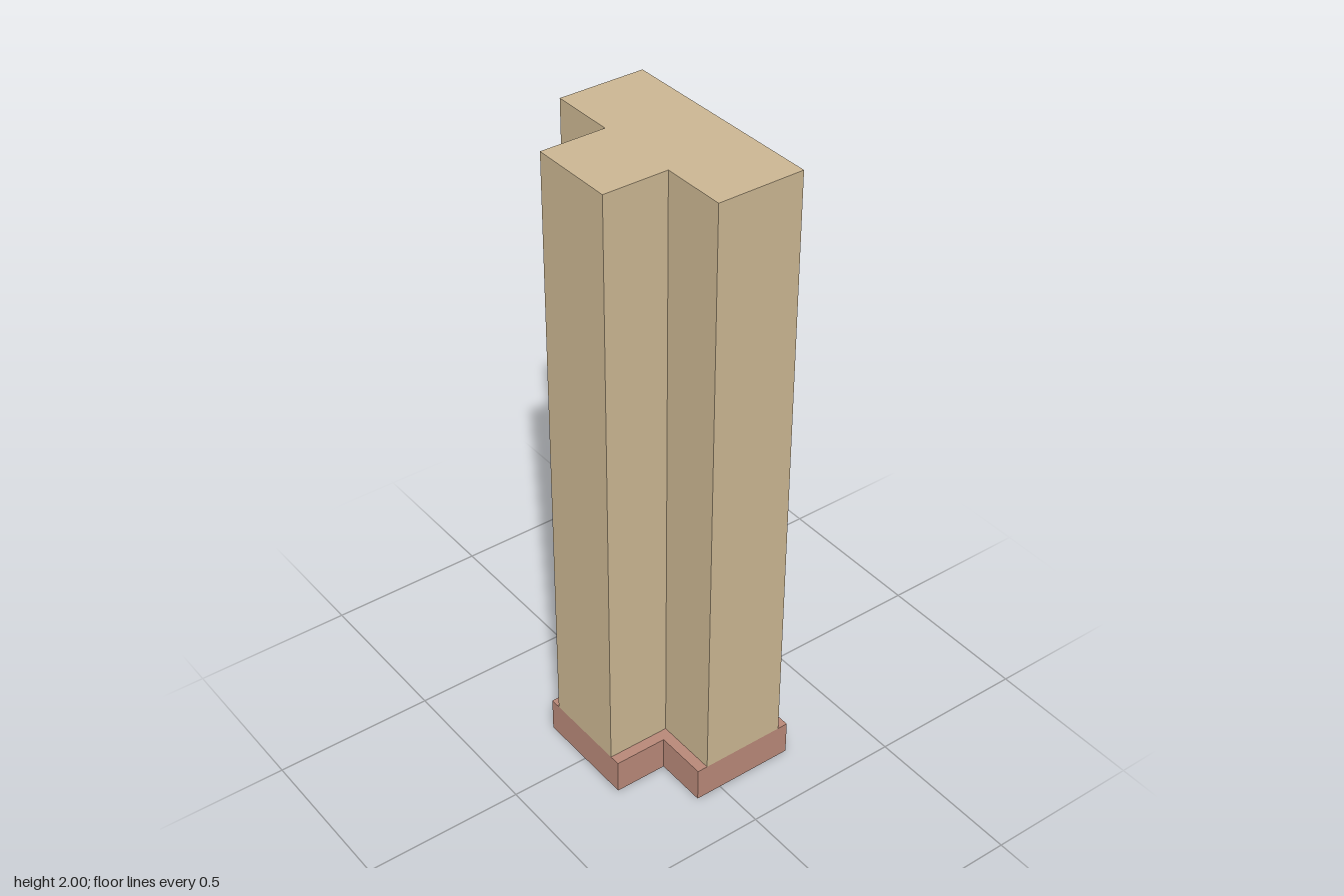
import * as THREE from 'three';

// T-shaped prism: a crossbar along the back with a stem reaching the front
function tPrism(name, color, { stem, back, barFront, bottom, top }) {
  const bar = 0.333, front = 0.25;
  const half = [[stem, front], [stem, barFront], [bar, barFront], [bar, back]];
  const mirrored = half.map(([x, z]) => [-x, z]).reverse();
  // Shape y is -z, so that the extrusion can be stood upright
  const outline = [...half, ...mirrored].map(([x, z]) => new THREE.Vector2(x, -z));
  const geometry = new THREE.ExtrudeGeometry(new THREE.Shape(outline), {
    depth: top - bottom,
    bevelEnabled: false,
  });
  geometry.rotateX(-Math.PI / 2).translate(0, bottom, 0);
  const mesh = new THREE.Mesh(geometry, new THREE.MeshStandardMaterial({ color }));
  mesh.name = name;
  return mesh;
}

export function createModel() {
  const model = new THREE.Group();
  model.name = 'wallJunction';
  // Low plinth, slightly wider than the wall
  model.add(tPrism('plinth', 0xb88878, { stem: 0.167, back: -0.25, barFront: 0.083, bottom: 0, top: 0.11 }));
  // Tall wall standing on the plinth
  model.add(tPrism('wall', 0xcbb692, { stem: 0.133, back: -0.217, barFront: 0.05, bottom: 0.11, top: 2 }));
  return model;
}
